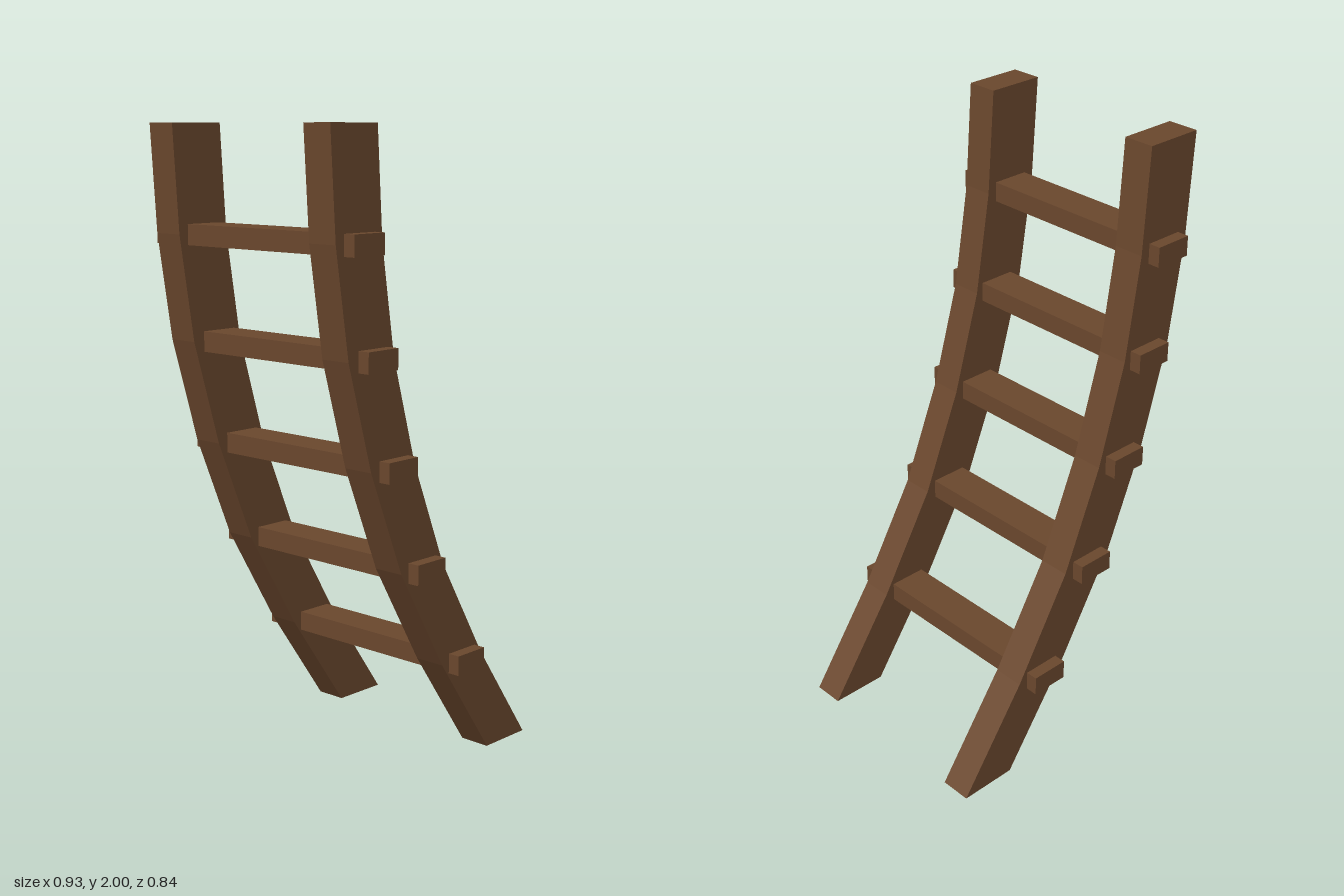
import * as THREE from 'three';

export function createModel() {
  const group = new THREE.Group();
  const wood = new THREE.MeshStandardMaterial({ color: 0x6a472d });
  wood.name = 'brown wood';

  // Rail centre line: x at seven evenly spaced heights
  const centres = [0.366, 0.133, -0.063, -0.199, -0.295, -0.347, -0.368];
  const half = 0.096;
  const height = (i) => (i * 2) / (centres.length - 1);

  // Curved rails, cut level at both ends
  const outline = [
    ...centres.map((x, i) => new THREE.Vector2(x + half, height(i))),
    ...centres.map((x, i) => new THREE.Vector2(x - half, height(i))).reverse(),
  ];
  const railDepth = 0.103;
  const railGeometry = new THREE.ExtrudeGeometry(new THREE.Shape(outline), {
    depth: railDepth, bevelEnabled: false,
  });
  railGeometry.translate(0, 0, -railDepth / 2);
  for (const [name, z] of [['frontRail', 0.327], ['backRail', -0.327]]) {
    const rail = new THREE.Mesh(railGeometry, wood);
    rail.name = name;
    rail.position.z = z;
    group.add(rail);
  }

  // Level rungs that poke out through both rails
  const rungGeometry = new THREE.BoxGeometry(0.126, 0.064, 0.836);
  [0.133, -0.064, -0.196, -0.287, -0.346].forEach((x, i) => {
    const rung = new THREE.Mesh(rungGeometry, wood);
    rung.name = `rung${i + 1}`;
    rung.position.set(x, height(i + 1) - 0.002, 0);
    group.add(rung);
  });

  return group;
}
